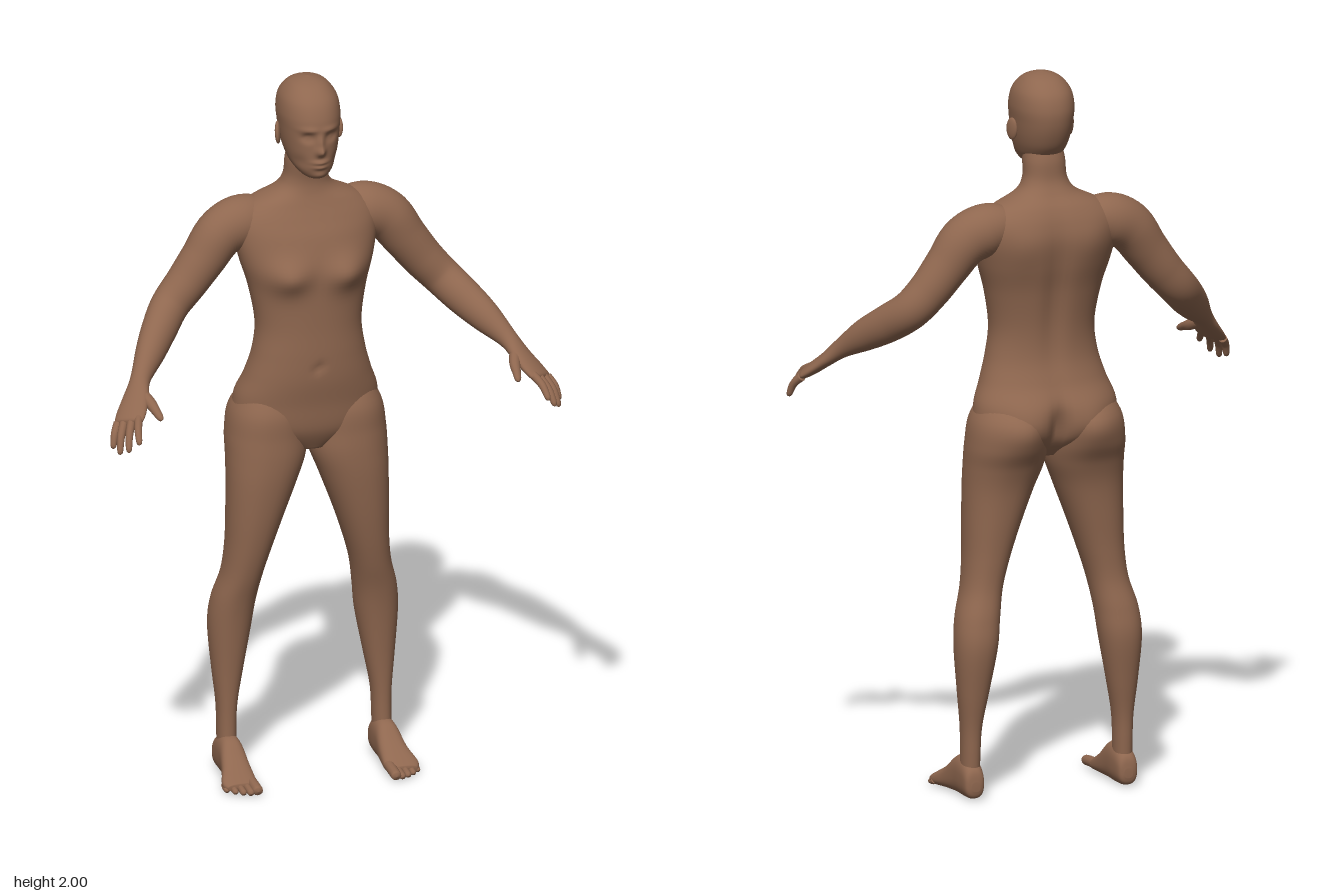
import * as THREE from 'three';

const V = (x, y, z) => new THREE.Vector3(x, y, z);
const skinMat = new THREE.MeshStandardMaterial({ color: 0x8f674f });
skinMat.name = 'skin';

// Catmull-Rom through rows of numbers, t in 0..1
function sample(rows, t) {
  const n = rows.length - 1, f = Math.min(t * n, n - 1e-6), i = Math.floor(f), k = f - i;
  const [p, a, b, q] = [rows[Math.max(i - 1, 0)], rows[i], rows[i + 1], rows[Math.min(i + 2, n)]];
  return a.map((_, c) => a[c] + 0.5 * k * (b[c] - p[c] +
    k * (2 * p[c] - 5 * a[c] + 4 * b[c] - q[c] + k * (3 * (a[c] - b[c]) + q[c] - p[c]))));
}

// Join rings of points into a smooth closed skin
function skin(rings) {
  const m = rings[0].length, pos = [], idx = [];
  rings.forEach(r => r.forEach(p => pos.push(p.x, p.y, p.z)));
  for (let i = 0; i < rings.length - 1; i++) for (let j = 0; j < m; j++) {
    const a = i * m + j, b = i * m + (j + 1) % m, c = a + m, d = b + m;
    idx.push(a, c, b, b, c, d);
  }
  [0, rings.length - 1].forEach((ri, end) => {
    const mid = V(0, 0, 0);
    rings[ri].forEach(p => mid.addScaledVector(p, 1 / m));
    const c = pos.length / 3;
    pos.push(mid.x, mid.y, mid.z);
    for (let j = 0; j < m; j++) {
      const a = ri * m + j, b = ri * m + (j + 1) % m;
      end ? idx.push(a, c, b) : idx.push(a, b, c);
    }
  });
  const g = new THREE.BufferGeometry();
  g.setAttribute('position', new THREE.Float32BufferAttribute(pos, 3));
  g.setIndex(idx);
  g.computeVertexNormals();
  return g;
}

// Loft of oval sections [t, a0, a1, b0, b1]; upright: t=y a=x b=z, otherwise t=z a=y b=x.
// bumps [x, y, height, sizeX, sizeY, side] swell the front (+1) or back (-1), mirrored in x
function loft(rows, { upright = true, steps = 60, sides = 40, power = 2.2, bumps = [] } = {}) {
  const rings = [];
  const sp = v => Math.sign(v) * Math.abs(v) ** (2 / power);
  for (let i = 0; i <= steps; i++) {
    const [t, a0, a1, b0, b1] = sample(rows, i / steps), ring = [];
    for (let j = 0; j < sides; j++) {
      const th = j / sides * Math.PI * 2, s = Math.sin(th);
      const a = (a0 + a1) / 2 + (a1 - a0) / 2 * sp(Math.cos(th));
      let b = (b0 + b1) / 2 + (b1 - b0) / 2 * sp(s);
      for (const [x, y, h, sx, sy, side] of bumps)
        b += side * h * THREE.MathUtils.clamp(side * s * 2, 0, 1) *
          Math.exp(-(((Math.abs(a) - x) / sx) ** 2) - ((t - y) / sy) ** 2);
      ring.push(upright ? V(a, t, b) : V(b, a, t));
    }
    rings.push(ring);
  }
  return skin(rings);
}

// Tapered limb along rows [x, y, z, ru, rv] with a rounded tip; ru lies along ref
function limb(rows, ref, steps, sides, round) {
  const rings = [];
  for (let i = 0; i <= steps; i++) {
    const t = i / steps, p = sample(rows, t);
    const q = sample(rows, Math.min(t + 0.01, 1)), o = sample(rows, Math.max(t - 0.01, 0));
    const T = V(q[0] - o[0], q[1] - o[1], q[2] - o[2]).normalize();
    const u = ref.clone().addScaledVector(T, -ref.dot(T)).normalize(), v = u.clone().cross(T);
    const e = Math.max(0, (t - round) / (1 - round)), k = Math.sqrt(Math.max(1 - e * e, 0.002));
    rings.push(Array.from({ length: sides }, (_, j) => {
      const th = j / sides * Math.PI * 2;
      return V(p[0], p[1], p[2]).addScaledVector(u, p[3] * k * Math.cos(th))
        .addScaledVector(v, p[4] * k * Math.sin(th));
    }));
  }
  return skin(rings);
}

function mirrored(g) {
  const m = g.clone().scale(-1, 1, 1), ix = m.index.array;
  for (let i = 0; i < ix.length; i += 3) [ix[i], ix[i + 1]] = [ix[i + 1], ix[i]];
  m.computeVertexNormals();
  return m;
}

export function createModel() {
  const model = new THREE.Group();
  model.name = 'figure';
  const add = (name, g) => {
    const mesh = new THREE.Mesh(g, skinMat);
    mesh.name = name;
    model.add(mesh);
  };
  const pair = (name, g) => { add('left' + name, g); add('right' + name, mirrored(g)); };
  const sym = rows => rows.map(([y, w, f, b]) => [y, -w, w, b, f]);
  const buttock = [0.095, 1.03, 0.024, 0.07, 0.07, -1];

  // Torso and neck: [y, half width, front z, back z]
  add('torso', loft(sym([
    [0.94, 0.06, -0.03, -0.15], [1.0, 0.19, 0, -0.215], [1.08, 0.2, 0.01, -0.23],
    [1.15, 0.176, 0.02, -0.205], [1.22, 0.156, 0.022, -0.187], [1.3, 0.147, 0.02, -0.187],
    [1.4, 0.163, 0.02, -0.203], [1.48, 0.186, 0.018, -0.222], [1.55, 0.2, 0, -0.232],
    [1.6, 0.195, -0.022, -0.225], [1.64, 0.155, -0.04, -0.208], [1.675, 0.085, -0.052, -0.182],
    [1.71, 0.061, -0.055, -0.165], [1.76, 0.057, -0.045, -0.16], [1.8, 0.05, -0.04, -0.15]]), {
    steps: 90, sides: 72, bumps: [
      [0.085, 1.455, 0.03, 0.055, 0.045, 1], // chest
      [0, 1.19, -0.008, 0.012, 0.014, 1], // navel
      [0, 1.4, -0.014, 0.03, 0.2, -1], // spine
      [0.1, 1.54, 0.008, 0.05, 0.07, -1], // shoulder blades
      [0, 1.03, -0.03, 0.02, 0.06, -1], buttock],
  }));

  // Head with modelled face
  add('head', loft(sym([
    [1.735, 0.012, 0.005, -0.04], [1.742, 0.034, 0.02, -0.08], [1.765, 0.055, 0.032, -0.135],
    [1.795, 0.067, 0.034, -0.167], [1.83, 0.075, 0.034, -0.186], [1.87, 0.08, 0.035, -0.198],
    [1.91, 0.083, 0.03, -0.2], [1.95, 0.076, 0.012, -0.187], [1.98, 0.055, -0.02, -0.157],
    [1.994, 0.03, -0.052, -0.124], [2, 0.001, -0.087, -0.089]]), {
    steps: 90, sides: 96, bumps: [
      [0, 1.822, 0.02, 0.012, 0.013, 1], [0, 1.845, 0.011, 0.009, 0.02, 1], // nose
      [0.032, 1.86, -0.013, 0.016, 0.012, 1], [0.032, 1.859, 0.005, 0.009, 0.007, 1], // eyes
      [0.03, 1.882, 0.005, 0.025, 0.008, 1], // brow
      [0, 1.79, 0.009, 0.02, 0.006, 1], [0, 1.776, 0.008, 0.018, 0.006, 1], // lips
      [0, 1.75, 0.006, 0.02, 0.01, 1], [0.05, 1.785, -0.006, 0.015, 0.02, 1]],
  }));

  // Ears
  const ear = new THREE.SphereGeometry(1, 16, 12).scale(0.008, 0.032, 0.02);
  ear.rotateY(0.4).rotateX(-0.15).translate(0.085, 1.845, -0.085);
  pair('Ear', ear);

  // Legs: [y, inner x, outer x, back z, front z]
  pair('Leg', loft([
    [0.02, 0.195, 0.245, -0.155, -0.08], [0.12, 0.194, 0.245, -0.16, -0.085],
    [0.2, 0.19, 0.247, -0.165, -0.085], [0.3, 0.172, 0.257, -0.182, -0.08],
    [0.42, 0.15, 0.266, -0.2, -0.068], [0.5, 0.14, 0.259, -0.192, -0.055],
    [0.58, 0.126, 0.237, -0.175, -0.035], [0.66, 0.103, 0.228, -0.174, -0.018],
    [0.75, 0.072, 0.226, -0.18, -0.004], [0.85, 0.034, 0.225, -0.19, 0.006],
    [0.92, 0.008, 0.224, -0.208, 0.008], [0.98, 0.003, 0.222, -0.228, 0.005],
    [1.05, 0.01, 0.21, -0.225, 0], [1.12, 0.04, 0.17, -0.17, -0.03]],
  { steps: 80, bumps: [buttock] }));

  // Feet: [z, bottom y, top y, inner x, outer x]
  pair('Foot', loft([
    [-0.172, 0.025, 0.05, 0.208, 0.232], [-0.162, 0.005, 0.085, 0.194, 0.248],
    [-0.12, 0, 0.11, 0.188, 0.252], [-0.07, 0, 0.108, 0.186, 0.255],
    [-0.02, 0, 0.07, 0.183, 0.264], [0.03, 0, 0.04, 0.182, 0.278], [0.056, 0.005, 0.025, 0.19, 0.268]],
  { upright: false, steps: 36, power: 2.5 }));

  // Toes, large to small
  for (let i = 0; i < 5; i++) {
    const x = 0.196 + i * 0.0185, r = i ? 0.0105 - i * 0.0006 : 0.0145, tip = 0.1 - i * i * 0.0028;
    pair('Toe' + (i + 1), limb([[x, r + 0.008, 0.02, r, r], [x, r + 0.003, tip - 0.025, r, r],
      [x, r, tip, r, r * 0.9]], V(1, 0, 0), 12, 12, 0.75));
  }

  // Arms running into the palms: [x, y, z, half width, half thickness]
  const across = V(0.065, -0.025, -0.035).normalize();
  pair('Arm', limb([
    [0.1, 1.585, -0.135, 0.05, 0.055], [0.17, 1.583, -0.132, 0.07, 0.072], [0.235, 1.555, -0.127, 0.068, 0.07],
    [0.285, 1.49, -0.122, 0.062, 0.062], [0.335, 1.425, -0.118, 0.057, 0.057],
    [0.385, 1.37, -0.105, 0.052, 0.054], [0.43, 1.325, -0.055, 0.047, 0.052],
    [0.475, 1.282, 0.005, 0.039, 0.044], [0.52, 1.235, 0.065, 0.028, 0.027],
    [0.545, 1.2, 0.105, 0.037, 0.02], [0.57, 1.168, 0.143, 0.044, 0.017],
    [0.588, 1.148, 0.17, 0.042, 0.013]], across, 84, 36, 0.96));

  // Fingers: knuckle to tip
  [[0.557, 1.166, 0.168, 0.58, 1.115, 0.25], [0.576, 1.156, 0.165, 0.604, 1.088, 0.23],
    [0.595, 1.149, 0.155, 0.622, 1.076, 0.207], [0.608, 1.144, 0.142, 0.632, 1.084, 0.177]]
    .forEach(([x, y, z, a, b, c], i) => pair('Finger' + (i + 1), limb([
      [x, y, z, 0.012, 0.012], [(x + a) / 2 + 0.004, (y + b) / 2 + 0.006, (z + c) / 2 + 0.004, 0.0105, 0.0105],
      [a, b, c, 0.008, 0.008]], across, 16, 12, 0.8)));

  // Thumbs
  pair('Thumb', limb([[0.535, 1.215, 0.09, 0.016, 0.016], [0.517, 1.192, 0.14, 0.016, 0.015],
    [0.51, 1.178, 0.18, 0.012, 0.011], [0.505, 1.165, 0.212, 0.009, 0.008]], across, 18, 12, 0.8));

  return model;
}
